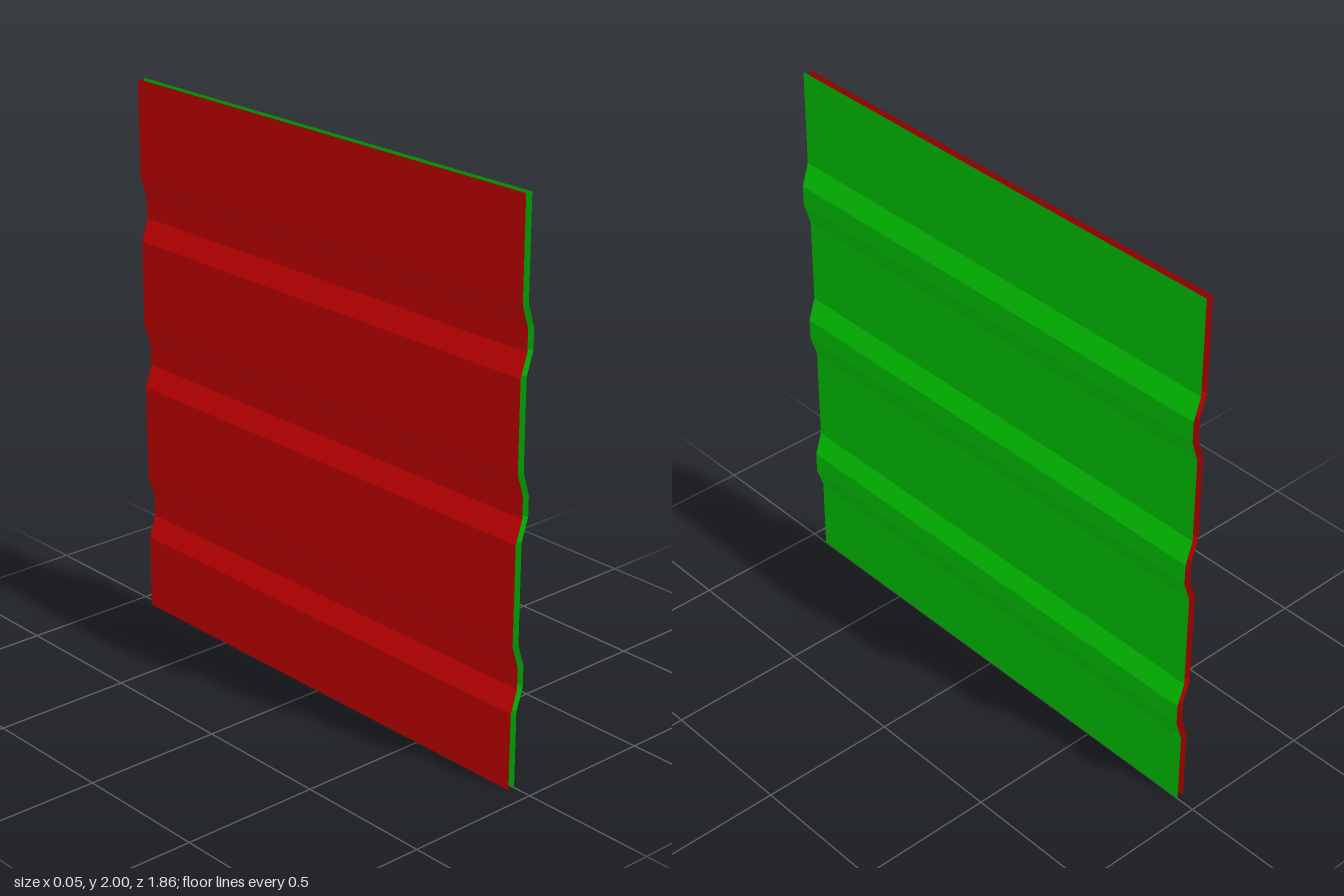
import * as THREE from 'three';

const HALF_DEPTH = 0.93;
const RIB = 0.026; // rib height, also the gap between the two sheets

// Sheet outline as [x, y], from the bottom up, with three trapezoid ribs
function ribbedProfile() {
  const points = [[0, 0]];
  for (const y of [0.275, 0.865, 1.415]) {
    points.push([0, y], [RIB, y + 0.08], [RIB, y + 0.155], [0, y + 0.237]);
  }
  points.push([0, 2]);
  return points;
}

// Open corrugated sheet facing +x (side = 1) or -x (side = -1)
function makeSheet(name, color, x, side) {
  const profile = ribbedProfile();
  const plane = new THREE.PlaneGeometry(2 * HALF_DEPTH, 2, 1, profile.length - 1);
  plane.rotateY(side * Math.PI / 2);
  const pos = plane.attributes.position;
  for (let i = 0; i < pos.count; i++) {
    const [px, py] = profile[profile.length - 1 - Math.floor(i / 2)];
    pos.setXYZ(i, x + px, py, pos.getZ(i));
  }
  const geometry = plane.toNonIndexed();
  geometry.computeVertexNormals();
  const mesh = new THREE.Mesh(geometry, new THREE.MeshStandardMaterial({
    color, flatShading: true, side: THREE.DoubleSide,
  }));
  mesh.name = name;
  return mesh;
}

export function createModel() {
  const group = new THREE.Group();
  group.name = 'corrugatedPanel';
  group.add(makeSheet('outerSheet', 0x00ff00, 0, 1));
  group.add(makeSheet('innerSheet', 0xff0000, -RIB, -1));
  return group;
}
